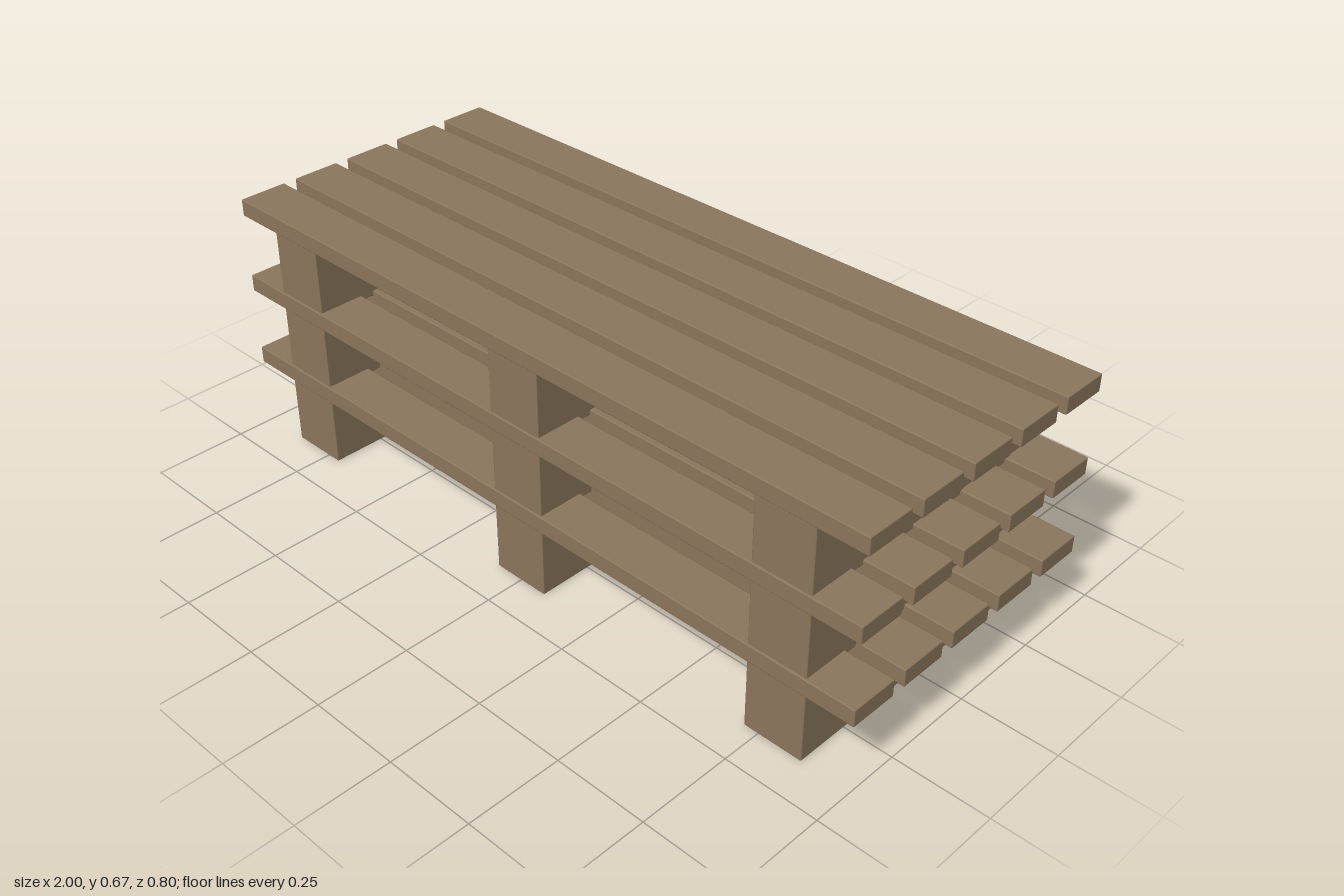
import * as THREE from 'three';
import { RoundedBoxGeometry } from 'three/addons/geometries/RoundedBoxGeometry.js';

const BEVEL = 0.003;

export function createModel() {
  const model = new THREE.Group();
  model.name = 'palletStack';
  const wood = new THREE.MeshStandardMaterial({ color: 0x8b765c });

  // Lightly chamfered timbers
  const beamGeometry = new RoundedBoxGeometry(0.16, 0.184, 0.79, 1, BEVEL);
  const boardGeometry = new RoundedBoxGeometry(2, 0.046, 0.131, 1, BEVEL);

  const addTimber = (parent, name, geometry, x, y, z) => {
    const mesh = new THREE.Mesh(geometry, wood);
    mesh.name = name;
    mesh.position.set(x, y, z);
    parent.add(mesh);
  };

  // Three identical pallets, each nested slightly into the one below
  for (let level = 0; level < 3; level++) {
    const pallet = new THREE.Group();
    pallet.name = `pallet${level + 1}`;
    pallet.position.y = level * 0.2175;

    // Bearers running front to back
    for (const x of [-0.79, 0, 0.79]) addTimber(pallet, 'bearer', beamGeometry, x, 0.092, 0);

    // Deck boards running side to side
    for (let i = -2; i <= 2; i++) addTimber(pallet, 'deckBoard', boardGeometry, 0, 0.209, i * 0.1673);

    model.add(pallet);
  }
  return model;
}
